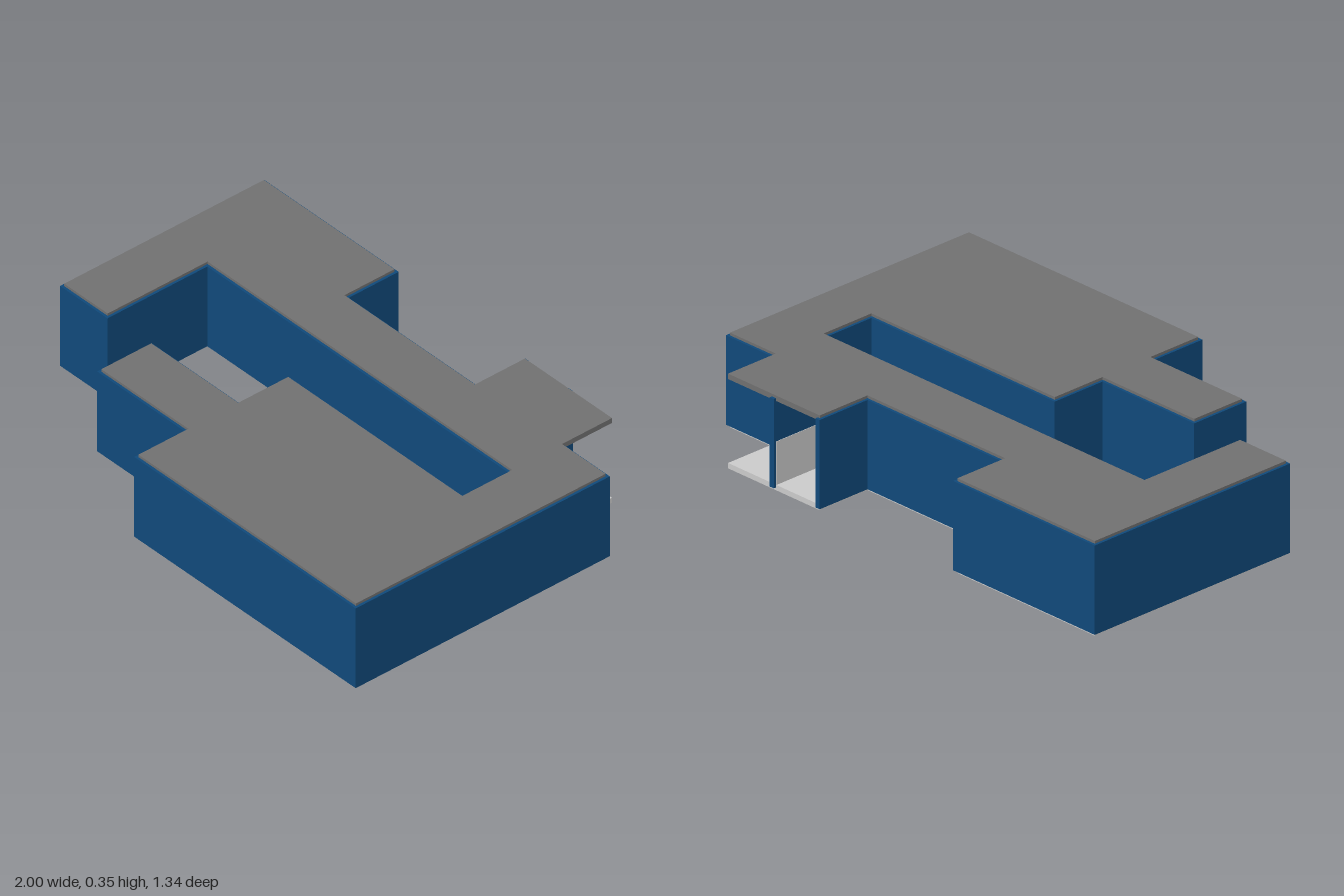
import * as THREE from 'three';

const U = 0.22; // plan module
const T = 0.02; // wall and slab thickness
const H = 0.35; // overall height

export function createModel() {
  const group = new THREE.Group();
  const wallMat = new THREE.MeshStandardMaterial({ color: 0x10497a });
  const roofMat = new THREE.MeshStandardMaterial({ color: 0x707070 });
  const floorMat = new THREE.MeshStandardMaterial({ color: 0xcccccc });

  // Plan corners (x, z) in modules, shared by walls and slabs
  const main = [
    [4.5, -2], [4.5, 3], [-0.5, 3], [-0.5, 2], [-2.5, 2], [-2.5, 1], [-0.5, 1],
    [-0.5, 0], [3.5, 0], [3.5, -1], [-3.5, -1], [-3.5, 1], [-4.5, 1],
    [-4.5, -3], [-1.5, -3], [-1.5, -2], [1.5, -2], [1.5, -3],
  ];
  const slabPlan = [...main, [3.5, -3], [3.5, -2]];
  // The wall line stops at the entrance and resumes at the porch partition
  const wallPlan = [[2.5, -3], [2.5, -2], ...main];

  // Roof and floor slabs
  function addSlab(name, y, material) {
    const shape = new THREE.Shape(slabPlan.map(([x, z]) => new THREE.Vector2(x * U, -z * U)));
    const geo = new THREE.ExtrudeGeometry(shape, { depth: T, bevelEnabled: false });
    geo.rotateX(-Math.PI / 2);
    const mesh = new THREE.Mesh(geo, material);
    mesh.name = name;
    mesh.position.y = y;
    group.add(mesh);
  }
  addSlab('floor', 0, floorMat);
  addSlab('roof', H - T, roofMat);

  // Walls straddle the slab edge
  const walls = new THREE.Group();
  walls.name = 'walls';
  for (let i = 0; i < wallPlan.length - 1; i++) {
    const [x0, z0] = wallPlan[i];
    const [x1, z1] = wallPlan[i + 1];
    const wall = new THREE.Mesh(
      new THREE.BoxGeometry(Math.abs(x1 - x0) * U + T, H - T, Math.abs(z1 - z0) * U + T),
      wallMat,
    );
    wall.name = 'wall';
    wall.position.set((x0 + x1) * U / 2, H / 2, (z0 + z1) * U / 2);
    walls.add(wall);
  }
  group.add(walls);

  // Pale lower lining on both sides of the open entrance
  for (const [x, side] of [[1.5, 1], [2.5, -1]]) {
    const lining = new THREE.Mesh(new THREE.BoxGeometry(0.002, 0.16, U), floorMat);
    lining.name = 'entranceLining';
    lining.position.set(x * U + side * (T / 2 + 0.001), T + 0.08, -2.5 * U);
    group.add(lining);
  }

  return group;
}
